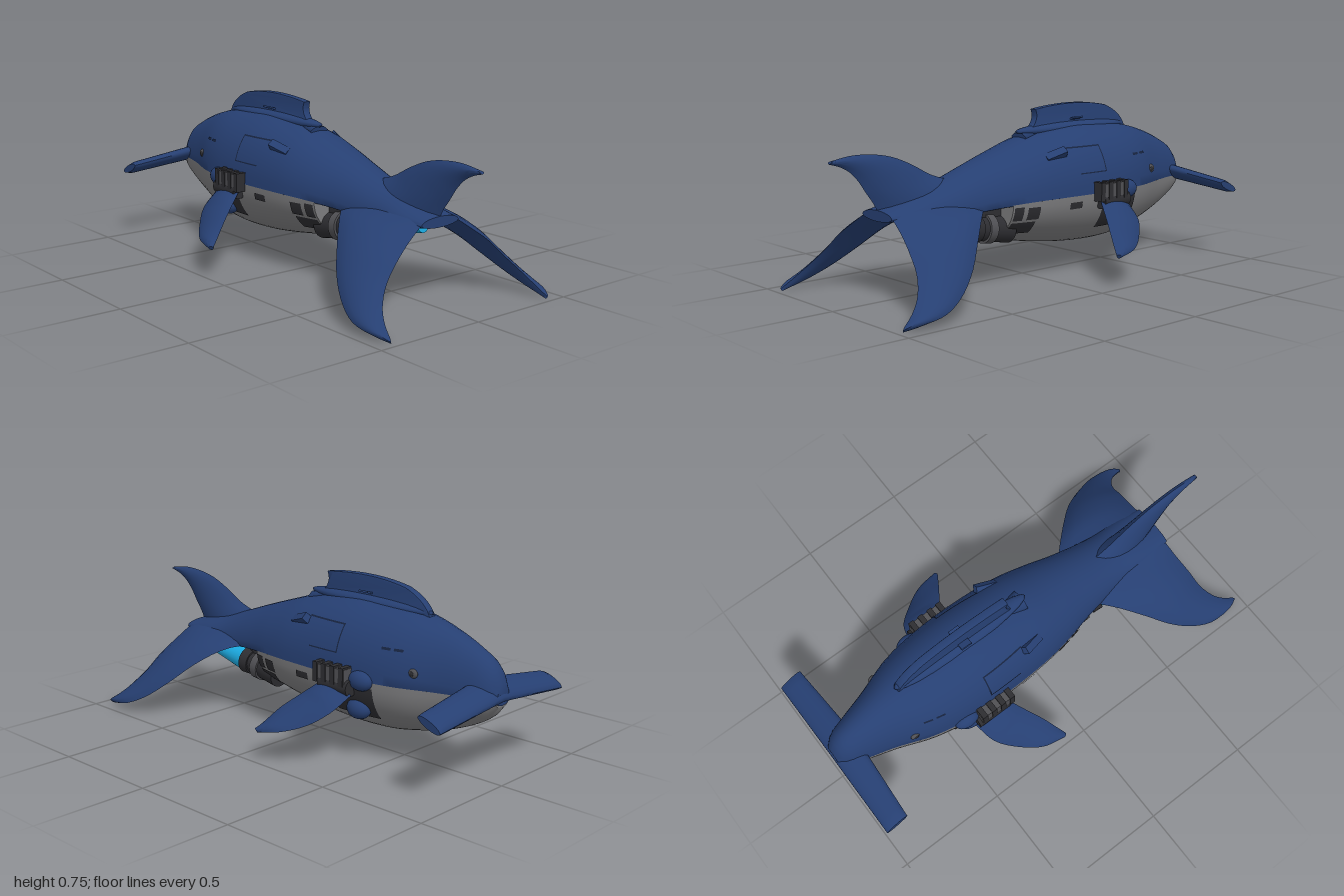
import * as THREE from 'three';
import { toCreasedNormals } from 'three/addons/utils/BufferGeometryUtils.js';

const mat = (name, color, side = THREE.FrontSide) => {
  const m = new THREE.MeshStandardMaterial({ color, side });
  m.name = name;
  return m;
};

// Hull stations along the length: x, top, seam, keel, half width
const STATIONS = [
  [-0.99, 0.43, 0.36, 0.335, 0.04], [-0.95, 0.5, 0.365, 0.285, 0.075], [-0.87, 0.55, 0.37, 0.235, 0.1],
  [-0.75, 0.6, 0.37, 0.185, 0.135], [-0.6, 0.64, 0.37, 0.145, 0.19], [-0.45, 0.655, 0.37, 0.123, 0.22],
  [-0.25, 0.66, 0.37, 0.125, 0.23], [0, 0.625, 0.37, 0.155, 0.22], [0.15, 0.58, 0.365, 0.185, 0.195],
  [0.3, 0.53, 0.355, 0.22, 0.16], [0.5, 0.46, 0.34, 0.28, 0.13], [0.65, 0.42, 0.345, 0.32, 0.125],
  [0.78, 0.385, 0.36, 0.35, 0.1],
];

// Smoothly interpolated hull dimensions at x
function hullAt(x) {
  let i = 0;
  while (i < STATIONS.length - 2 && x > STATIONS[i + 1][0]) i++;
  const p = (k) => STATIONS[Math.max(0, Math.min(STATIONS.length - 1, k))];
  const a = p(i), b = p(i + 1), t = (x - a[0]) / (b[0] - a[0]);
  const slope = (k, c) => (p(k + 1)[c] - p(k - 1)[c]) / (p(k + 1)[0] - p(k - 1)[0]);
  const val = (c) => {
    const h = b[0] - a[0], t2 = t * t, t3 = t2 * t;
    return (2 * t3 - 3 * t2 + 1) * a[c] + (t3 - 2 * t2 + t) * h * slope(i, c)
      + (3 * t2 - 2 * t3) * b[c] + (t3 - t2) * h * slope(i + 1, c);
  };
  return { top: val(1), mid: val(2), bot: val(3), w: val(4) };
}

// Half width of the hull surface at (x, y)
function hullZ(x, y) {
  const h = hullAt(x);
  const k = y > h.mid ? (y - h.mid) / (h.top - h.mid) : (h.mid - y) / (h.mid - h.bot);
  return h.w * Math.pow(Math.max(0, 1 - k * k), y > h.mid ? 0.5 : 0.57);
}

// Skin closed rings of points, cap both ends, and turn the faces outward
function loft(rings, crease = 0.7) {
  const n = rings[0].length, pos = [], idx = [];
  const mean = (r) => r.reduce((s, p) => s.map((v, i) => v + p[i] / n), [0, 0, 0]);
  rings.forEach((r) => r.forEach((p) => pos.push(...p)));
  for (let i = 0; i < rings.length - 1; i++) for (let j = 0; j < n; j++) {
    const a = i * n + j, b = i * n + (j + 1) % n;
    idx.push(a, b, a + n, b, b + n, a + n);
  }
  const last = rings.length - 1, c = rings.length * n;
  pos.push(...mean(rings[0]), ...mean(rings[last]));
  for (let j = 0; j < n; j++) {
    const k = (j + 1) % n;
    idx.push(c, k, j, c + 1, last * n + j, last * n + k);
  }
  const v = (i) => new THREE.Vector3().fromArray(pos, i * 3);
  let vol = 0;
  for (let i = 0; i < idx.length; i += 3) vol += v(idx[i]).dot(v(idx[i + 1]).cross(v(idx[i + 2])));
  if (vol < 0) idx.reverse();
  const g = new THREE.BufferGeometry();
  g.setAttribute('position', new THREE.Float32BufferAttribute(pos, 3));
  g.setIndex(idx);
  return toCreasedNormals(g, crease);
}

// Fin from stations [leading x,y,z, trailing x,y,z, thickness] with a lens section
function fin(stations, normal, side = 1) {
  const N = 8, S = 24;
  const curve = (f) => new THREE.CatmullRomCurve3(stations.map((s) => new THREE.Vector3(...f(s))));
  const le = curve((s) => s.slice(0, 3)), te = curve((s) => s.slice(3, 6)), th = curve((s) => [s[6], 0, 0]);
  const rings = [];
  for (let i = 0; i <= S; i++) {
    const a = le.getPoint(i / S), b = te.getPoint(i / S), d = th.getPoint(i / S).x, ring = [];
    for (let j = 0; j < 2 * N; j++) {
      const t = j <= N ? j / N : 2 - j / N;
      const o = (j <= N ? 0.5 : -0.5) * d * Math.pow(Math.sin(Math.PI * t), 0.7 || 1) || 0;
      const p = a.clone().lerp(b, t);
      ring.push([p.x + normal[0] * o, p.y + normal[1] * o, (p.z + normal[2] * o) * side]);
    }
    rings.push(ring);
  }
  return loft(rings, 0.9);
}

// Thin plate that follows the hull side
function patch(x0, x1, y0, y1, side, lift = 0.004) {
  const g = new THREE.PlaneGeometry(1, 1, 8, 8), p = g.attributes.position;
  for (let i = 0; i < p.count; i++) {
    const x = x0 + (p.getX(i) + 0.5) * (x1 - x0), y = y0 + (p.getY(i) + 0.5) * (y1 - y0);
    p.setXYZ(i, x, y, side * (hullZ(x, y) + lift));
  }
  if (side < 0) g.setIndex(Array.from(g.index.array).reverse());
  g.computeVertexNormals();
  return g;
}

export function createModel() {
  const model = new THREE.Group();
  const navy = mat('navy hull', 0x263f72), grey = mat('grey belly', 0x7c7c7e);
  const dark = mat('dark machinery', 0x2d2d31, THREE.DoubleSide), steel = mat('steel', 0x505054);
  const cyan = mat('cyan glow', 0x1cabe2), line = mat('panel line', 0x16233f, THREE.DoubleSide);
  const add = (name, geo, m, x = 0, y = 0, z = 0) => {
    const mesh = new THREE.Mesh(geo, m);
    mesh.name = name;
    mesh.position.set(x, y, z);
    model.add(mesh);
    return mesh;
  };

  // Upper hull and belly
  const upper = [], belly = [];
  for (let i = 0; i <= 60; i++) {
    const x = -0.99 + (1.77 * i) / 60, h = hullAt(x), ring = [];
    for (let j = 0; j < 40; j++) {
      const a = (j / 40) * Math.PI * 2, s = Math.sin(a);
      ring.push([x, h.mid + s * (s > 0 ? h.top - h.mid : 0.02), h.w * Math.cos(a)]);
    }
    upper.push(ring);
  }
  for (let i = 0; i <= 40; i++) {
    const x = -0.985 + (1.195 * i) / 40, h = hullAt(x), ring = [];
    for (let j = 0; j <= 24; j++) {
      const a = (j / 24) * Math.PI, c = Math.cos(a);
      ring.push([x, h.mid - Math.sin(a) * (h.mid - h.bot), h.w * Math.sign(c) * Math.pow(Math.abs(c), 1.14)]);
    }
    belly.push(ring);
  }
  add('upperHull', loft(upper), navy);
  add('belly', loft(belly), grey);

  // Hammer-shaped head wing: tilted oval sections across z
  const hammer = [];
  for (let i = 0; i <= 32; i++) {
    const z = -0.4 + i * 0.025, k = Math.abs(z) / 0.4, ring = [];
    const half = 0.068 - 0.012 * k, thick = (0.034 - 0.008 * k) * (k > 0.99 ? 0.7 : 1);
    for (let j = 0; j < 20; j++) {
      const a = (j / 20) * Math.PI * 2, u = Math.cos(a) * half, v = Math.sin(a) * thick;
      ring.push([-1 + half + u * 0.96 - v * 0.2, 0.392 - 0.045 * k + u * 0.4 + v * 0.9, z]);
    }
    hammer.push(ring);
  }
  add('headWing', loft(hammer), navy);

  // Dorsal fin with its base fairing
  const s = new THREE.Shape();
  s.moveTo(-0.63, 0.62);
  s.quadraticCurveTo(-0.61, 0.69, -0.5, 0.73);
  s.quadraticCurveTo(-0.32, 0.768, -0.07, 0.735);
  s.quadraticCurveTo(-0.1, 0.67, 0.02, 0.61);
  s.lineTo(-0.3, 0.6);
  add('dorsalFin', toCreasedNormals(new THREE.ExtrudeGeometry(s,
    { depth: 0.026, bevelEnabled: true, bevelSize: 0.005, bevelThickness: 0.006, bevelSegments: 2, curveSegments: 16 }), 0.6), navy, 0, 0, -0.013);
  add('dorsalBase', new THREE.SphereGeometry(1, 24, 12), navy, -0.3, 0.645, 0).scale.set(0.34, 0.03, 0.05);
  add('rearFairing', new THREE.CylinderGeometry(0.05, 0.025, 0.1, 6), navy, -0.03, 0.628, 0).rotation.z = -Math.PI / 2 - 0.15;
  model.children.at(-1).scale.x = 0.4;

  // Upper tail fin
  add('upperTailFin', fin([
    [0.36, 0.46, 0, 0.77, 0.37, 0, 0.11], [0.5, 0.5, 0, 0.8, 0.42, 0, 0.085], [0.6, 0.552, 0, 0.83, 0.46, 0, 0.065],
    [0.7, 0.593, 0, 0.865, 0.51, 0, 0.05], [0.8, 0.612, 0, 0.905, 0.55, 0, 0.04], [0.9, 0.615, 0, 0.95, 0.575, 0, 0.03],
    [0.99, 0.602, 0, 1, 0.59, 0, 0.02]], [0, 0, 1]), navy);

  for (const d of [1, -1]) {
    const side = d > 0 ? 'left' : 'right';
    // Lower tail fins
    add(side + 'TailFin', fin([
      [0.3, 0.36, 0.1, 0.77, 0.37, 0.08, 0.06], [0.4, 0.335, 0.2, 0.785, 0.31, 0.17, 0.075], [0.5, 0.265, 0.295, 0.805, 0.25, 0.25, 0.07],
      [0.6, 0.17, 0.38, 0.825, 0.18, 0.32, 0.06], [0.7, 0.095, 0.435, 0.87, 0.11, 0.38, 0.05], [0.8, 0.05, 0.465, 0.92, 0.06, 0.41, 0.045],
      [0.9, 0.03, 0.46, 0.965, 0.025, 0.425, 0.035], [0.96, 0.015, 0.435, 0.975, 0.015, 0.43, 0.02]], [0, 0.7, 0.7], d), navy);
    // Pectoral fins
    add(side + 'PectoralFin', fin([
      [-0.42, 0.31, 0.25, -0.25, 0.34, 0.24, 0.04], [-0.39, 0.25, 0.34, -0.2, 0.285, 0.32, 0.04], [-0.32, 0.195, 0.41, -0.155, 0.235, 0.39, 0.035],
      [-0.22, 0.16, 0.475, -0.12, 0.18, 0.45, 0.03], [-0.12, 0.142, 0.495, -0.1, 0.15, 0.485, 0.02]], [0, 0.83, 0.55], d), navy);

    // Shoulder machinery, ball joint and underslung pod
    add(side + 'ShoulderBlock', new THREE.BoxGeometry(0.17, 0.06, 0.07), steel, -0.31, 0.385, 0.235 * d);
    for (let i = 0; i < 4; i++)
      add(side + 'ShoulderRib', new THREE.BoxGeometry(0.025, 0.085, 0.075), dark, -0.38 + i * 0.048, 0.38, 0.236 * d);
    const axle = add(side + 'ShoulderAxle', new THREE.CylinderGeometry(0.035, 0.035, 0.16, 16), dark, -0.33, 0.335, 0.24 * d);
    axle.rotation.z = Math.PI / 2;
    add(side + 'ShoulderBall', new THREE.SphereGeometry(0.05, 20, 14), navy, -0.44, 0.37, 0.215 * d).scale.set(1.2, 0.85, 0.75);
    add(side + 'Pod', new THREE.SphereGeometry(0.045, 20, 14), navy, -0.41, 0.24, 0.19 * d).scale.set(1.3, 1, 0.95);
    add(side + 'PodBay', patch(-0.5, -0.28, 0.205, 0.345, d), dark);

    // Eye, gill slits, hatch outline and belly panels
    const eye = add(side + 'Eye', new THREE.SphereGeometry(0.022, 16, 10), steel, -0.665, 0.435, (hullZ(-0.665, 0.435) - 0.004) * d);
    eye.scale.set(1.1, 0.9, 0.5);
    add(side + 'Pupil', new THREE.SphereGeometry(0.01, 12, 8), dark, -0.665, 0.435, (hullZ(-0.665, 0.435) + 0.005) * d).scale.z = 0.5;
    for (const [a, b, y0, y1] of [[-0.615, -0.575, 0.512, 0.522], [-0.56, -0.52, 0.512, 0.522], [-0.31, -0.304, 0.465, 0.575],
      [-0.31, -0.1, 0.572, 0.578], [-0.31, -0.15, 0.462, 0.467]])
      add(side + 'PanelLine', patch(a, b, y0, y1, d, 0.003), line);
    for (const [a, b, y0, y1] of [[-0.15, -0.08, 0.315, 0.345], [0.08, 0.14, 0.29, 0.345], [0.09, 0.205, 0.225, 0.28], [0.16, 0.205, 0.29, 0.35]])
      add(side + 'BellyPanel', patch(a, b, y0, y1, d), dark);
    const vent = add(side + 'Vent', new THREE.BoxGeometry(0.1, 0.035, 0.035), navy, -0.05, 0.55, (hullZ(-0.05, 0.55) - 0.002) * d);
    vent.rotation.set(0.7 * d, 0, -0.4);

    // Small winglet beside the dorsal fin
    add(side + 'Winglet', new THREE.BoxGeometry(0.05, 0.008, 0.04), navy, -0.3, 0.686, 0.03 * d).rotation.x = -0.3 * d;

    // Engine with rings and a tapering exhaust
    const engine = new THREE.Group();
    engine.name = side + 'Engine';
    engine.position.set(0.36, 0.268, 0.083 * d);
    engine.rotation.z = -Math.PI / 2 + 0.12;
    const tube = (name, r0, r1, y0, y1, m) => {
      const mesh = new THREE.Mesh(new THREE.CylinderGeometry(r1, r0, y1 - y0, 24), m);
      mesh.name = name;
      mesh.position.y = (y0 + y1) / 2;
      engine.add(mesh);
    };
    tube('engineBody', 0.062, 0.05, -0.2, 0, dark);
    tube('engineRing', 0.064, 0.064, -0.1, -0.06, steel);
    tube('engineCollar', 0.058, 0.062, -0.03, 0.015, dark);
    tube('exhaust', 0.057, 0.03, 0.015, 0.24, cyan);
    model.add(engine);
  }

  // Machinery block between belly and engines
  add('engineMount', new THREE.BoxGeometry(0.2, 0.11, 0.2), dark, 0.24, 0.305, 0);
  add('engineSpine', new THREE.BoxGeometry(0.2, 0.06, 0.06), steel, 0.36, 0.31, 0);
  return model;
}
